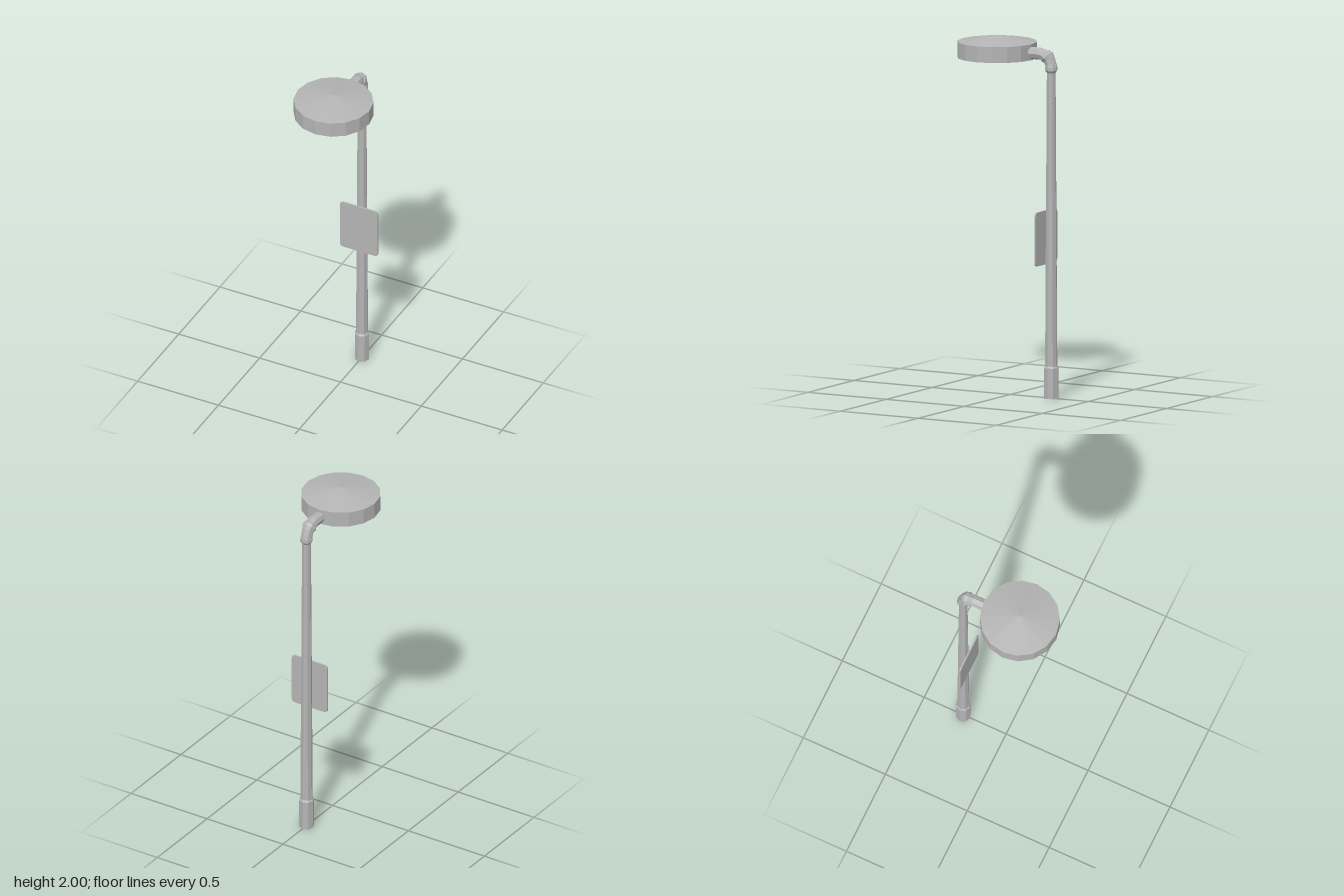
import * as THREE from 'three';

const grey = new THREE.MeshStandardMaterial({ color: 0xb4b4b4, flatShading: true, side: THREE.DoubleSide });
grey.name = 'grey metal';

const POLE_Z = -0.262;
const LAMP_Z = 0.084;

function part(name, geometry, z = 0) {
  const mesh = new THREE.Mesh(geometry, grey);
  mesh.name = name;
  mesh.position.z = z;
  return mesh;
}

function lathe(profile, sides) {
  return new THREE.LatheGeometry(profile.map(([r, y]) => new THREE.Vector2(r, y)), sides);
}

// Octagonal pipe swept through [z, y, radius] stations in the x = 0 plane
function sweptPipe(stations, sides) {
  const positions = [];
  const index = [];
  stations.forEach(([z, y, r], i) => {
    const before = stations[Math.max(i - 1, 0)];
    const after = stations[Math.min(i + 1, stations.length - 1)];
    const length = Math.hypot(after[0] - before[0], after[1] - before[1]);
    const tz = (after[0] - before[0]) / length;
    const ty = (after[1] - before[1]) / length;
    for (let j = 0; j < sides; j++) {
      const a = (j / sides) * Math.PI * 2;
      positions.push(r * Math.cos(a), y + r * Math.sin(a) * tz, z - r * Math.sin(a) * ty);
      if (i === stations.length - 1) continue;
      const p = i * sides + j;
      const q = i * sides + (j + 1) % sides;
      index.push(p, q, q + sides, p, q + sides, p + sides);
    }
  });
  const geometry = new THREE.BufferGeometry();
  geometry.setAttribute('position', new THREE.Float32BufferAttribute(positions, 3));
  geometry.setIndex(index);
  geometry.computeVertexNormals();
  return geometry;
}

// Thin plate with rounded corners
function signPlate(w, h, r, depth) {
  const x = w / 2, y = h / 2;
  const shape = new THREE.Shape();
  shape.moveTo(-x + r, -y);
  shape.lineTo(x - r, -y);
  shape.quadraticCurveTo(x, -y, x, -y + r);
  shape.lineTo(x, y - r);
  shape.quadraticCurveTo(x, y, x - r, y);
  shape.lineTo(-x + r, y);
  shape.quadraticCurveTo(-x, y, -x, y - r);
  shape.lineTo(-x, -y + r);
  shape.quadraticCurveTo(-x, -y, -x + r, -y);
  return new THREE.ExtrudeGeometry(shape, { depth, bevelEnabled: false, curveSegments: 3 });
}

export function createModel() {
  const group = new THREE.Group();
  group.name = 'streetLamp';

  // Wider sleeve at the foot, then a tapering pole
  group.add(part('poleBase', lathe([[0.042, 0], [0.042, 0.17], [0.035, 0.18]], 8), POLE_Z));
  group.add(part('pole', lathe([[0.035, 0.18], [0.025, 1.83]], 8), POLE_Z));

  // Elbow with a collar at each end, and the arm into the lamp
  group.add(part('elbowArm', sweptPipe([
    [-0.262, 1.815, 0.025],
    [-0.263, 1.828, 0.035],
    [-0.262, 1.845, 0.035],
    [-0.259, 1.862, 0.032],
    [-0.248, 1.888, 0.034],
    [-0.238, 1.899, 0.041],
    [-0.228, 1.906, 0.041],
    [-0.222, 1.909, 0.034],
    [-0.198, 1.916, 0.034],
    [-0.10, 1.916, 0.034],
  ], 8)));

  // Lamp hood with a recessed underside
  group.add(part('lampHood', lathe([
    [0, 1.91], [0.203, 1.91], [0.203, 1.875], [0.221, 1.875], [0.221, 1.964], [0, 2],
  ], 16), LAMP_Z));
  group.add(part('bulb', lathe([[0, 1.856], [0.03, 1.856], [0.056, 1.875], [0.095, 1.91]], 8), LAMP_Z));

  // Sign on the front of the pole
  const sign = part('signPlate', signPlate(0.234, 0.3, 0.022, 0.009), -0.232);
  sign.position.y = 0.895;
  group.add(sign);

  return group;
}
